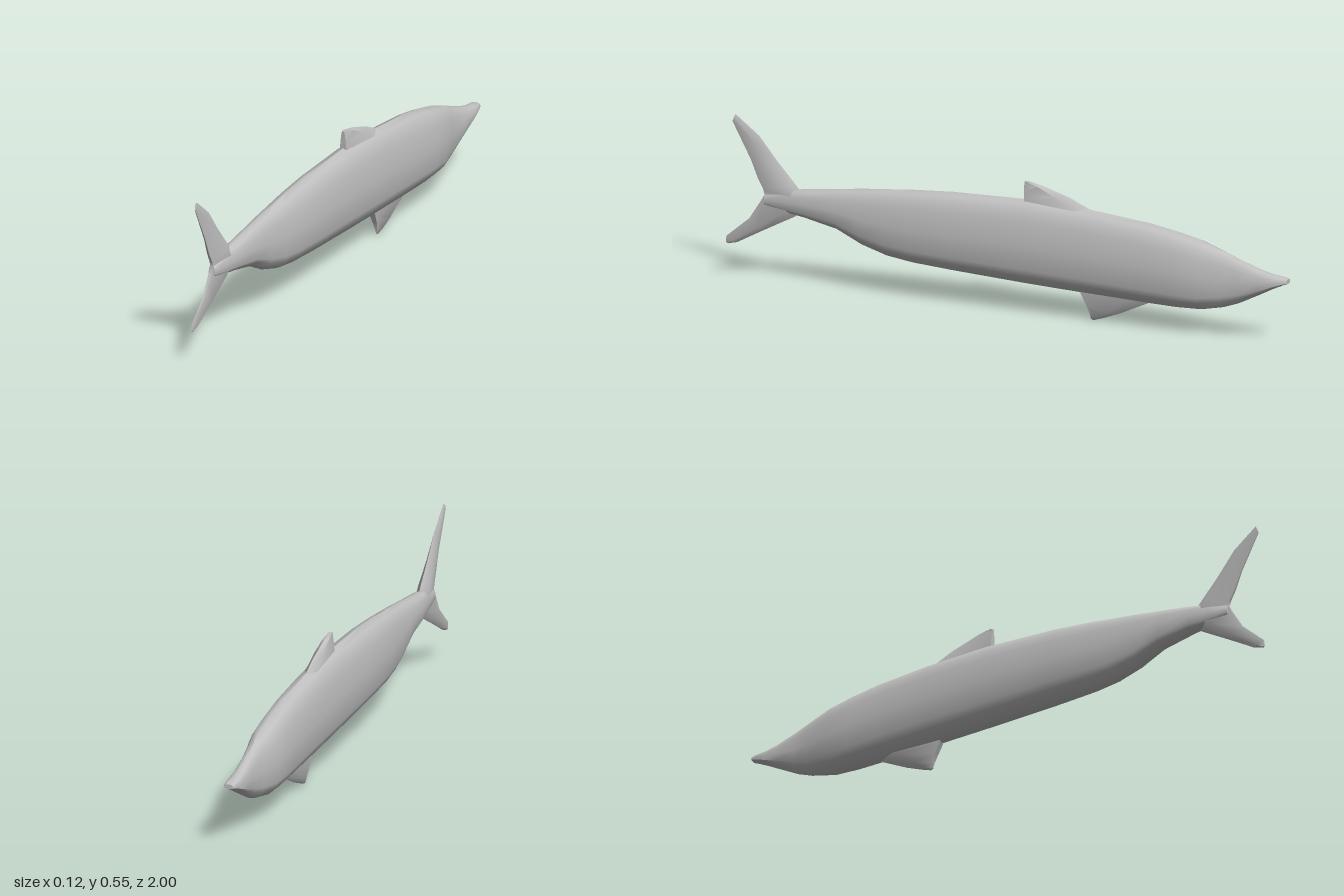
import * as THREE from 'three';
import { toCreasedNormals } from 'three/addons/utils/BufferGeometryUtils.js';

// Skin a list of equal-length closed rings of [x, y, z] points and cap both ends.
function loft(rings, crease) {
  const n = rings[0].length;
  const pos = rings.flat(2);
  const idx = [];
  for (let r = 0; r < rings.length - 1; r++) {
    for (let i = 0; i < n; i++) {
      const a = r * n + i, b = r * n + (i + 1) % n;
      idx.push(a, b, a + n, b, b + n, a + n);
    }
  }
  const last = (rings.length - 1) * n;
  for (let i = 1; i < n - 1; i++) {
    idx.push(0, i + 1, i, last, last + i, last + i + 1);
  }
  // Turn the faces outward when the enclosed volume is negative.
  const v = (i) => new THREE.Vector3().fromArray(pos, i * 3);
  let volume = 0;
  for (let i = 0; i < idx.length; i += 3) {
    volume += v(idx[i]).dot(v(idx[i + 1]).cross(v(idx[i + 2])));
  }
  if (volume < 0) idx.reverse();
  const geo = new THREE.BufferGeometry();
  geo.setAttribute('position', new THREE.Float32BufferAttribute(pos, 3));
  geo.setIndex(idx);
  return toCreasedNormals(geo, crease);
}

// Half cross-section of the body: fraction of half width, fraction of height.
const HALF = [[0, 0], [0.38, 0.03], [0.82, 0.13], [1, 0.22], [0.99, 0.5], [0.86, 0.78], [0.65, 0.89], [0.42, 0.965], [0, 1]];
const SECTION = [...HALF, ...HALF.slice(1, -1).reverse().map(([x, y]) => [-x, y])];

// Body stations from snout to tail: z, bottom, top, half width.
const BODY = [
  [-1, 0.207, 0.223, 0.016], [-0.985, 0.201, 0.228, 0.02], [-0.945, 0.182, 0.232, 0.025],
  [-0.9, 0.158, 0.243, 0.027], [-0.825, 0.12, 0.27, 0.03], [-0.77, 0.1, 0.291, 0.037],
  [-0.69, 0.083, 0.318, 0.053], [-0.6, 0.08, 0.338, 0.057], [-0.5, 0.082, 0.355, 0.058],
  [-0.295, 0.088, 0.374, 0.058], [-0.075, 0.096, 0.383, 0.058], [0.19, 0.109, 0.376, 0.057],
  [0.33, 0.118, 0.366, 0.053], [0.42, 0.13, 0.357, 0.047], [0.51, 0.157, 0.348, 0.041],
  [0.6, 0.2, 0.336, 0.036], [0.72, 0.226, 0.321, 0.03], [0.79, 0.235, 0.31, 0.021],
  [0.86, 0.25, 0.29, 0.011],
];

function bodyGeometry() {
  const rings = BODY.map(([z, low, high, w]) =>
    SECTION.map(([x, y]) => [x * w, low + y * (high - low), z]));
  return loft(rings, 0.75);
}

// Fin stations: leading z, y, trailing z, y, half thickness.
// The section is pointed in front and blunt (rear fraction) behind.
function finGeometry(stations, rear) {
  const rings = stations.map(([z0, y0, z1, y1, w]) => {
    const p = (t, x) => [x * w, y0 + (y1 - y0) * t, z0 + (z1 - z0) * t];
    return [p(0, 0), p(0.3, 1), p(1, rear), p(1, -rear), p(0.3, -1)];
  });
  return loft(rings, 0.9);
}

export function createModel() {
  const model = new THREE.Group();
  model.name = 'fish';
  const skin = new THREE.MeshStandardMaterial({ color: 0xc0c0c0 });
  skin.name = 'greySkin';

  const add = (name, geometry) => {
    const mesh = new THREE.Mesh(geometry, skin);
    mesh.name = name;
    model.add(mesh);
  };

  add('body', bodyGeometry());

  // Forked tail, swept from the upper tip through the root to the lower tip.
  add('tailFin', finGeometry([
    [0.965, 0.547, 0.976, 0.522, 0.004],
    [0.88, 0.482, 0.91, 0.4, 0.009],
    [0.82, 0.408, 0.885, 0.34, 0.014],
    [0.755, 0.336, 0.865, 0.305, 0.02],
    [0.7, 0.275, 0.86, 0.287, 0.022],
    [0.755, 0.223, 0.875, 0.262, 0.02],
    [0.86, 0.167, 0.915, 0.2, 0.013],
    [0.96, 0.112, 0.997, 0.13, 0.006],
    [0.992, 0.104, 1, 0.11, 0.003],
  ], 0.25));

  add('dorsalFin', finGeometry([
    [-0.35, 0.36, -0.065, 0.36, 0.022],
    [-0.29, 0.376, -0.065, 0.378, 0.02],
    [-0.225, 0.405, -0.064, 0.405, 0.016],
    [-0.13, 0.434, -0.064, 0.43, 0.011],
    [-0.075, 0.444, -0.063, 0.442, 0.006],
  ], 0.6));

  add('bellyFin', finGeometry([
    [-0.54, 0.1, -0.262, 0.1, 0.02],
    [-0.5, 0.08, -0.268, 0.085, 0.019],
    [-0.4, 0.033, -0.285, 0.05, 0.014],
    [-0.345, 0.012, -0.296, 0.022, 0.008],
    [-0.308, 0, -0.298, 0.005, 0.002],
  ], 0.6));

  return model;
}
